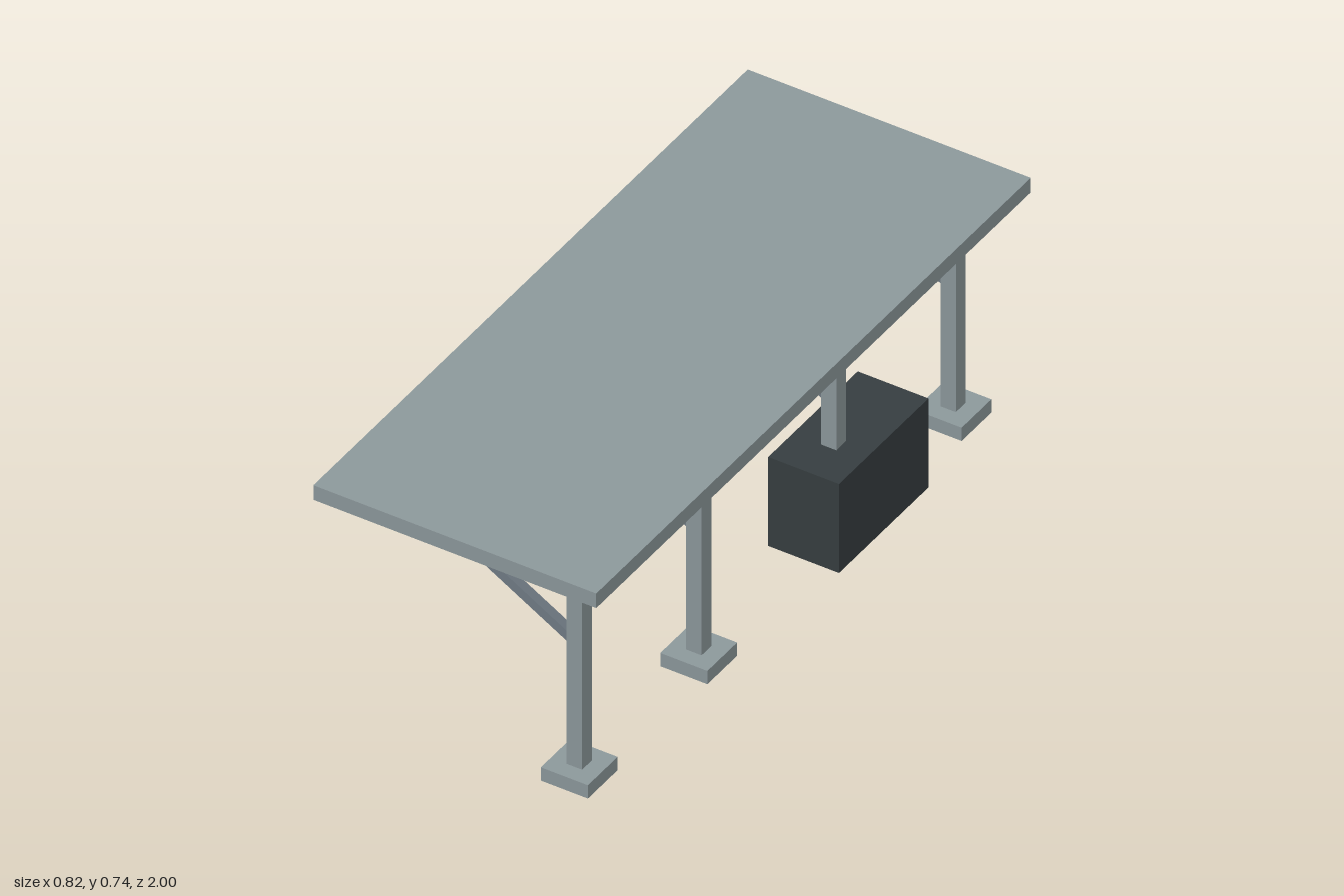
import * as THREE from 'three';

export function createModel() {
  const model = new THREE.Group();
  const steel = new THREE.MeshStandardMaterial({ color: 0x8c989b });
  const strutSteel = new THREE.MeshStandardMaterial({ color: 0x707b84 });
  const dark = new THREE.MeshStandardMaterial({ color: 0x363d40 });

  function box(name, size, position, material, parent = model) {
    const mesh = new THREE.Mesh(new THREE.BoxGeometry(...size), material);
    mesh.name = name;
    mesh.position.set(...position);
    parent.add(mesh);
    return mesh;
  }

  // Flat canopy roof
  box('roof', [0.824, 0.045, 2], [0, 0.7125, 0], steel);

  // Row of supports: footing, post and diagonal brace reaching under the roof
  const postX = 0.255;
  const braceTop = new THREE.Vector2(-0.228, 0.6915);
  const braceFoot = new THREE.Vector2(postX, 0.4125);
  const span = braceTop.clone().sub(braceFoot);
  const mid = braceTop.clone().add(braceFoot).multiplyScalar(0.5);

  [0.83, 0.28, -0.34, -0.89].forEach((z, i) => {
    const support = new THREE.Group();
    support.name = `support${i + 1}`;
    support.position.z = z;
    model.add(support);
    box('footing', [0.137, 0.041, 0.137], [postX, 0.0205, 0], steel, support);
    box('post', [0.045, 0.642, 0.045], [postX, 0.36, 0], steel, support);
    const brace = box('brace', [span.length(), 0.027, 0.027], [mid.x, mid.y, 0], strutSteel, support);
    brace.rotation.z = span.angle();
  });

  // Equipment cabinet enclosing the foot of the third post
  box('cabinet', [0.206, 0.275, 0.412], [0.2535, 0.139, -0.411], dark);

  return model;
}
